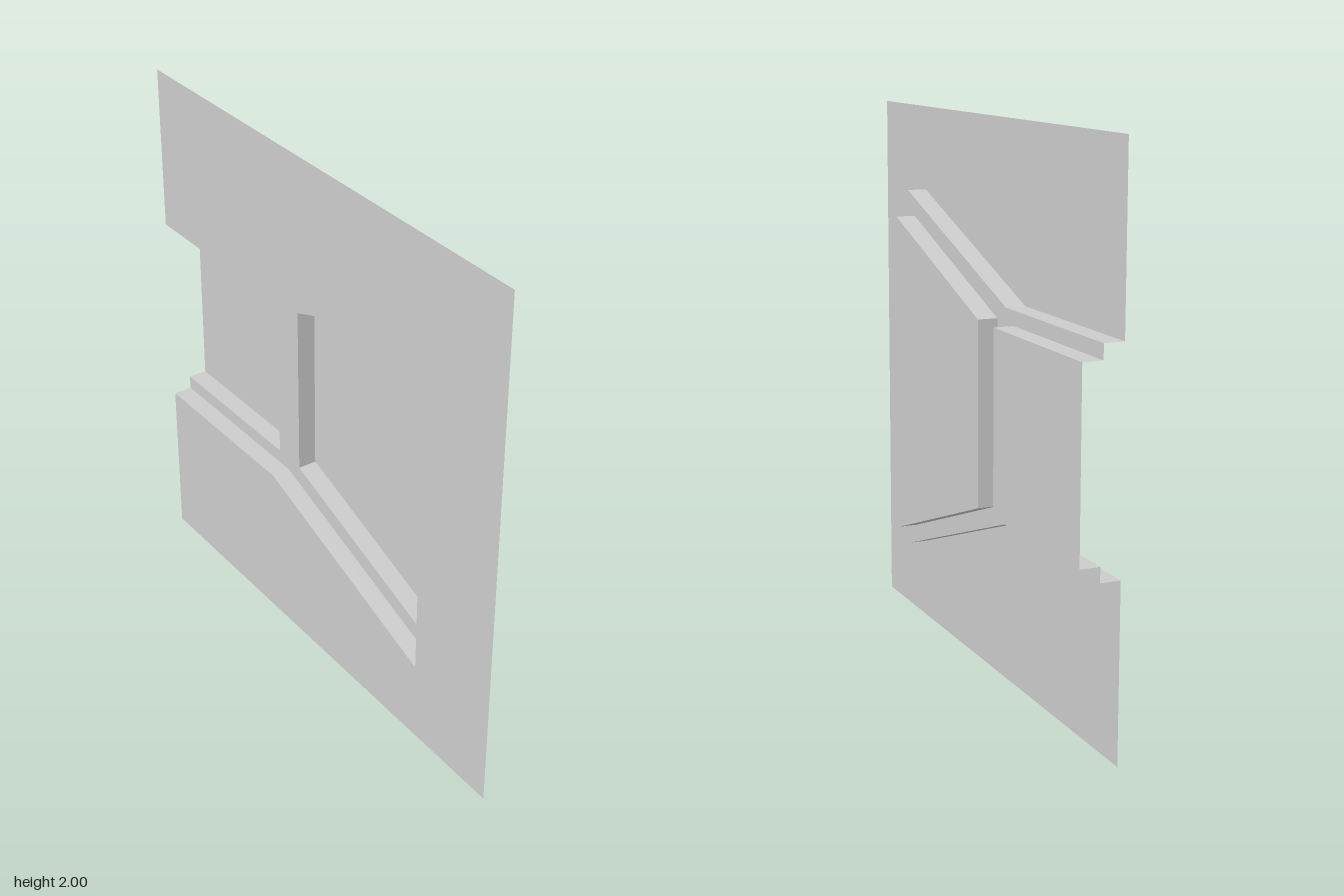
import * as THREE from 'three';

const DEPTH = 0.072; // depth of each recess step

// Outlines as [x, y] points; y is mirrored about the middle height y = 1
const mirrorY = (pts) => [...pts, ...pts.map(([x, y]) => [x, 2 - y]).reverse()];
const opening = mirrorY([[-1, 1.378], [-0.29, 1.378], [0.6, 1.69]]);
const channelPocket = mirrorY([[-1, 1.325], [-0.35, 1.325]]);
const flarePocket = mirrorY([[-0.22, 1.331], [0.535, 1.6]]);

const toPoints = (pts) => pts.map(([x, y]) => new THREE.Vector2(x, y));

export function createModel() {
  const group = new THREE.Group();
  const material = new THREE.MeshStandardMaterial({ color: 0xcccccc, side: THREE.DoubleSide, flatShading: true });

  const add = (name, geometry) => {
    const mesh = new THREE.Mesh(geometry, material);
    mesh.name = name;
    group.add(mesh);
  };

  // Flat sheet facing +z
  const sheet = (name, outline, z, holes = []) => {
    const shape = new THREE.Shape(toPoints(outline));
    holes.forEach((h) => shape.holes.push(new THREE.Path(toPoints(h))));
    add(name, new THREE.ShapeGeometry(shape).translate(0, 0, z));
  };

  // Step wall along an outline, from z down by one DEPTH
  const wall = (name, outline, z, closed) => {
    const positions = [];
    const count = closed ? outline.length : outline.length - 1;
    for (let i = 0; i < count; i++) {
      const [ax, ay] = outline[i];
      const [bx, by] = outline[(i + 1) % outline.length];
      const low = z - DEPTH;
      positions.push(ax, ay, z, ax, ay, low, bx, by, z);
      positions.push(bx, by, z, ax, ay, low, bx, by, low);
    }
    const geometry = new THREE.BufferGeometry();
    geometry.setAttribute('position', new THREE.Float32BufferAttribute(positions, 3));
    geometry.computeVertexNormals();
    add(name, geometry);
  };

  // Front plate, notched from its -x edge by the opening
  sheet('frontPlate', [[-1, 2], [1, 2], [1, 0], [-1, 0], ...[...opening].reverse()], DEPTH);
  wall('openingWall', opening, DEPTH, false);

  // Recessed ledge around both pockets; the channel runs out at the -x edge
  sheet('ledge', [...opening, ...[...channelPocket].reverse()], 0, [flarePocket]);
  wall('channelWall', channelPocket, 0, false);
  wall('flareWall', flarePocket, 0, true);

  // Pocket floors
  sheet('channelFloor', channelPocket, -DEPTH);
  sheet('flareFloor', flarePocket, -DEPTH);

  return group;
}
